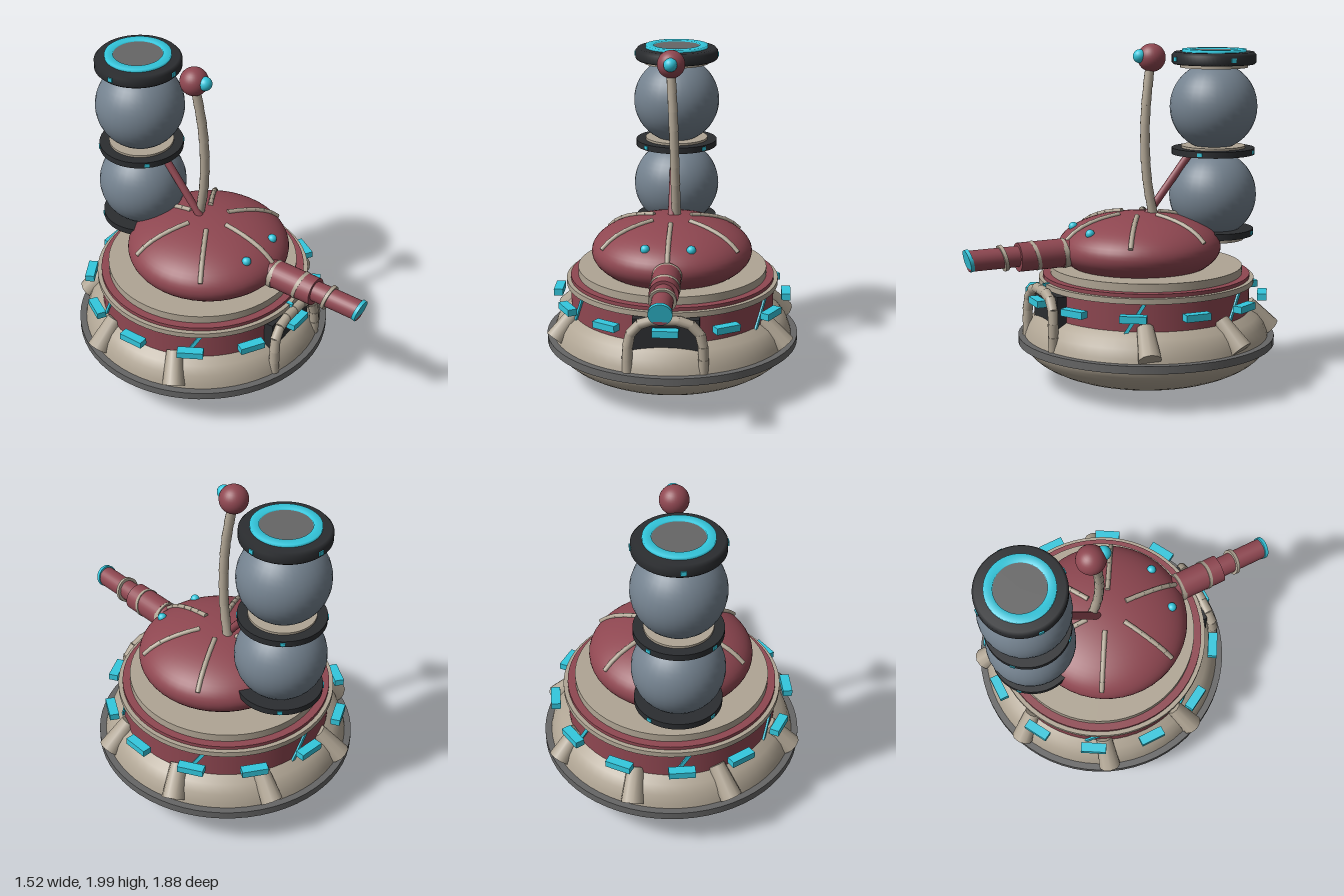
import * as THREE from 'three';

const mat = (color) => new THREE.MeshStandardMaterial({ color, side: THREE.DoubleSide });
const RED = mat(0x8f4751), TAN = mat(0xb0a594), CYAN = mat(0x33c8de);
const BLACK = mat(0x2b2d30), GREY = mat(0x666666), STEEL = mat(0x74828f);
const V = (x, y, z) => new THREE.Vector3(x, y, z);
const UP = V(0, 1, 0);

export function createModel() {
  const model = new THREE.Group();

  const add = (parent, name, geo, material, x = 0, y = 0, z = 0) => {
    const m = new THREE.Mesh(geo, material);
    m.name = name;
    m.position.set(x, y, z);
    parent.add(m);
    return m;
  };
  const group = (name, x = 0, y = 0, z = 0) => {
    const g = new THREE.Group();
    g.name = name;
    g.position.set(x, y, z);
    model.add(g);
    return g;
  };
  // Upright disc between two heights
  const disc = (parent, name, r, y0, y1, material, seg = 48) =>
    add(parent, name, new THREE.CylinderGeometry(r, r, y1 - y0, seg), material, 0, (y0 + y1) / 2, 0);
  // Tapered rod from a to b
  const rod = (parent, name, a, b, ra, rb, material, seg = 12) => {
    const d = b.clone().sub(a);
    const m = add(parent, name, new THREE.CylinderGeometry(rb, ra, d.length(), seg), material);
    m.position.copy(a).add(b).multiplyScalar(0.5);
    m.quaternion.setFromUnitVectors(UP, d.normalize());
    return m;
  };
  // Chain of slightly tapered rods along a curve
  const chain = (parent, name, curve, n, r, material) => {
    const p = curve.getSpacedPoints(n);
    for (let i = 0; i < n; i++) {
      const over = p[i + 1].clone().sub(p[i]).multiplyScalar(0.06);
      rod(parent, name, p[i].clone().sub(over), p[i + 1].clone().add(over), r, r * 0.9, material);
    }
  };
  const lathe = (parent, name, pts, material) =>
    add(parent, name, new THREE.LatheGeometry(pts.map(([x, y]) => new THREE.Vector2(x, y)), 64), material);

  // Saucer hull: shallow bowl, rim and sloping shoulder
  const body = group('body', 0, 0, -0.17);
  const bowl = [];
  for (let i = 0; i <= 14; i++) {
    const a = (i / 14) * Math.PI / 2;
    bowl.push([0.725 * Math.sin(a), 0.27 - 0.262 * Math.cos(a)]);
  }
  lathe(body, 'bowl', bowl, TAN);
  disc(body, 'rim', 0.76, 0.25, 0.295, GREY, 64);
  lathe(body, 'shoulder', [[0.725, 0.28], [0.715, 0.32], [0.695, 0.37], [0.66, 0.415], [0.6, 0.455]], TAN);
  disc(body, 'wall', 0.61, 0.43, 0.62, RED, 64);
  disc(body, 'wallRing', 0.635, 0.61, 0.642, TAN, 64);
  disc(body, 'redRing', 0.61, 0.642, 0.663, RED, 64);
  disc(body, 'deck', 0.565, 0.663, 0.71, TAN, 64);

  // Twelve lights round the wall
  for (let i = 0; i < 12; i++) {
    const a = i * Math.PI / 6;
    const light = add(body, 'wallLight', new THREE.BoxGeometry(0.15, 0.04, 0.055), CYAN,
      0.685 * Math.sin(a), 0.54, 0.685 * Math.cos(a));
    light.rotation.y = a;
  }
  // Slanted strips on the wall
  for (let i = 0; i < 6; i++) {
    const a = i * Math.PI / 3;
    const strip = add(body, 'slantedStrip', new THREE.BoxGeometry(0.02, 0.2, 0.03), CYAN,
      0.605 * Math.sin(a), 0.52, 0.605 * Math.cos(a));
    strip.rotation.set(0, a, -0.55, 'YXZ');
  }
  // Buttress feet on the shoulder, none beside the door
  for (const deg of [67.5, 112.5, 157.5, 202.5, 247.5, 292.5]) {
    const a = THREE.MathUtils.degToRad(deg), b = a - 0.04;
    rod(body, 'buttress',
      V(0.735 * Math.sin(a), 0.32, 0.735 * Math.cos(a)),
      V(0.6 * Math.sin(b), 0.47, 0.6 * Math.cos(b)), 0.066, 0.048, TAN, 10);
  }

  // Doorway with a segmented arch
  const door = group('door');
  add(door, 'doorway', new THREE.BoxGeometry(0.38, 0.22, 0.16), BLACK, 0, 0.49, 0.385);
  const arch = new THREE.CatmullRomCurve3([
    V(-0.215, 0.3, 0.5), V(-0.215, 0.42, 0.5), V(-0.2, 0.52, 0.495), V(-0.13, 0.59, 0.49), V(0, 0.605, 0.49),
    V(0.13, 0.59, 0.49), V(0.2, 0.52, 0.495), V(0.215, 0.42, 0.5), V(0.215, 0.3, 0.5)]);
  chain(door, 'arch', arch, 12, 0.031, TAN);
  add(door, 'doorLamp', new THREE.BoxGeometry(0.02, 0.04, 0.04), CYAN, 0, 0.625, 0.46);

  // Dome with six ribs and two eyes
  const dome = group('dome', 0, 0.82, -0.125);
  add(dome, 'domeShell', new THREE.SphereGeometry(1, 48, 32), RED).scale.set(0.477, 0.2, 0.48);
  for (let i = 0; i < 6; i++) {
    const a = i * Math.PI / 3, pts = [];
    for (let k = 0; k <= 5; k++) {
      const r = 0.13 + k * 0.065;
      pts.push(V(r * Math.sin(a), 0.2 * Math.sqrt(1 - (r / 0.48) ** 2) + 0.003, r * Math.cos(a)));
    }
    chain(dome, 'rib', new THREE.CatmullRomCurve3(pts), 6, 0.015, TAN);
  }
  for (const s of [-1, 1])
    add(dome, 'eye', new THREE.SphereGeometry(0.027, 16, 12), CYAN, s * 0.132, 0.118, 0.365);

  // Forward barrel, each piece: name, start z, end z, radius, material
  const barrel = group('barrel', 0, 0.815, 0);
  for (const [name, z0, z1, r, m] of [
    ['barrelBase', 0.2, 0.37, 0.08, RED], ['baseRing', 0.34, 0.37, 0.086, TAN],
    ['thickTube', 0.37, 0.63, 0.083, RED], ['middleRing', 0.52, 0.54, 0.087, TAN],
    ['thinTube', 0.63, 0.92, 0.06, RED], ['frontRing', 0.71, 0.73, 0.077, TAN],
    ['tip', 0.91, 0.93, 0.066, CYAN]])
    rod(barrel, name, V(0, 0, z0), V(0, -0.005, z1), r, r, m, 32);

  // Segmented stalk with a ball head
  const stalk = group('stalk');
  chain(stalk, 'stalkSegment', new THREE.CatmullRomCurve3([
    V(0.022, 1.0, -0.205), V(0.018, 1.2, -0.168), V(0.012, 1.42, -0.155),
    V(0.004, 1.63, -0.163), V(-0.01, 1.87, -0.195)]), 8, 0.029, TAN);
  add(stalk, 'stalkBall', new THREE.SphereGeometry(0.082, 32, 20), RED, -0.01, 1.92, -0.205);
  add(stalk, 'stalkEye', new THREE.SphereGeometry(0.04, 24, 16), CYAN, -0.01, 1.93, -0.13);
  rod(stalk, 'strut', V(-0.005, 0.99, -0.17), V(-0.005, 1.36, -0.46), 0.023, 0.023, RED);

  // Tower of two globes held by collars
  const tower = group('tower', 0, 0, -0.605);
  for (const y of [1.1, 1.625])
    add(tower, 'globe', new THREE.SphereGeometry(0.26, 32, 24), STEEL, 0, y, 0);
  const studs = (y, r, h, turn) => {
    for (let i = 0; i < 4; i++) {
      const a = turn + i * Math.PI / 2;
      add(tower, 'stud', new THREE.BoxGeometry(0.03, h, 0.02), CYAN,
        r * Math.sin(a), y, r * Math.cos(a)).rotation.y = a;
    }
  };
  disc(tower, 'lowerNeck', 0.19, 0.83, 0.86, TAN);
  disc(tower, 'lowerCollar', 0.245, 0.858, 0.895, BLACK);
  studs(0.876, 0.24, 0.02, Math.PI / 4);
  disc(tower, 'middleCollar', 0.247, 1.343, 1.38, BLACK);
  disc(tower, 'middleNeck', 0.19, 1.38, 1.393, TAN);
  studs(1.361, 0.242, 0.02, Math.PI / 4);
  disc(tower, 'topNeck', 0.2, 1.855, 1.88, TAN);
  lathe(tower, 'topCollar', [[0, 1.875], [0.24, 1.875], [0.25, 1.885], [0.25, 1.93], [0.235, 1.947], [0, 1.947]], BLACK);
  studs(1.908, 0.246, 0.025, 0);
  lathe(tower, 'topRing', [[0.19, 1.945], [0.19, 1.963], [0.142, 1.963], [0.142, 1.945]], CYAN);
  disc(tower, 'topPlate', 0.142, 1.945, 1.955, GREY);

  return model;
}
